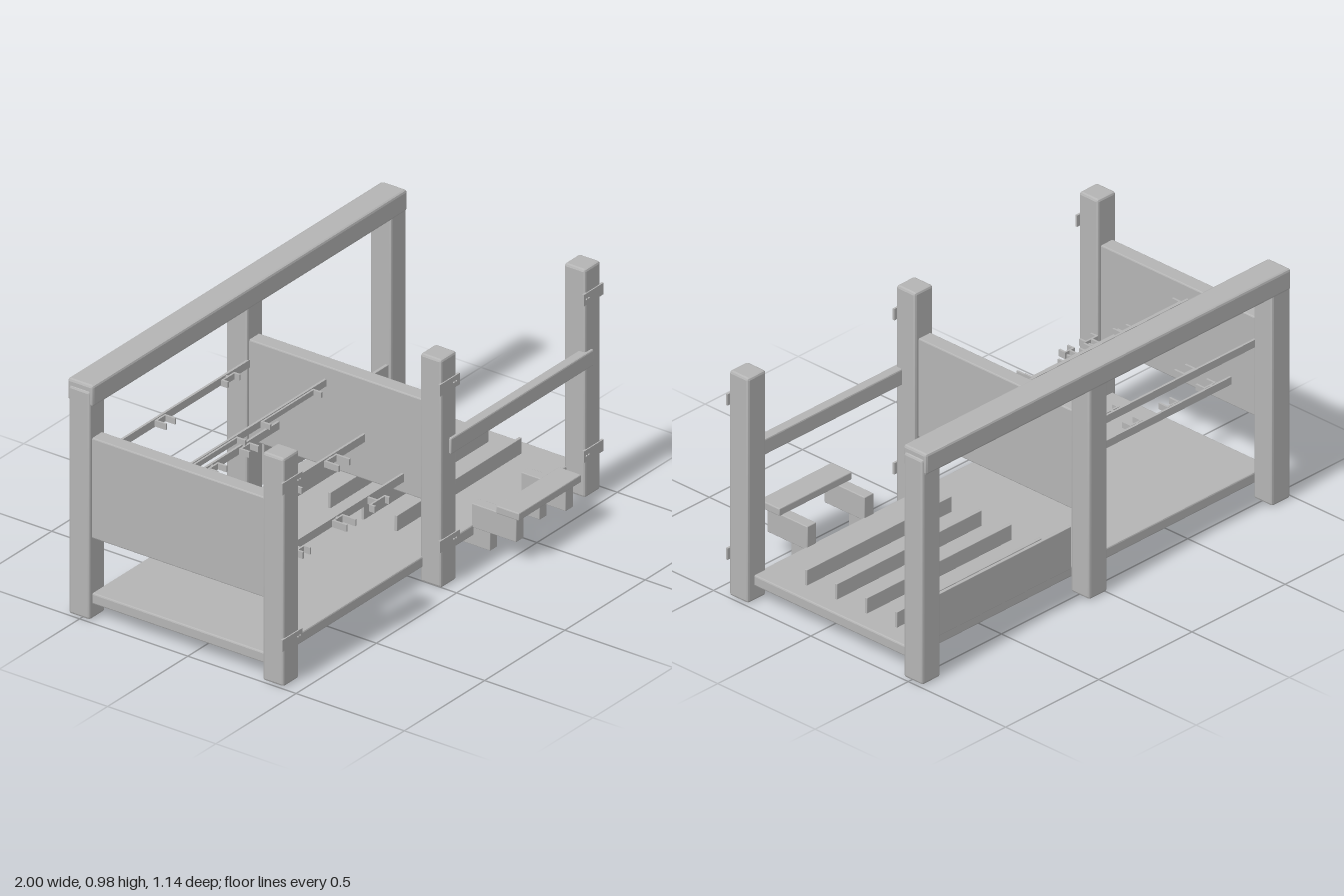
import * as THREE from 'three';
import { RoundedBoxGeometry } from 'three/addons/geometries/RoundedBoxGeometry.js';
import { toCreasedNormals } from 'three/addons/utils/BufferGeometryUtils.js';

export function createModel() {
  const model = new THREE.Group();
  model.name = 'storageRack';
  const grey = new THREE.MeshStandardMaterial({ color: 0xb4b4b4 });
  grey.name = 'grey';

  // Box given by its extents, with optional chamfered edges
  function box(name, [x0, x1], [y0, y1], [z0, z1], bevel = 0, parent = model) {
    const size = [x1 - x0, y1 - y0, z1 - z0];
    const geometry = bevel
      ? toCreasedNormals(new RoundedBoxGeometry(...size, 1, bevel), 0.3)
      : new THREE.BoxGeometry(...size);
    const mesh = new THREE.Mesh(geometry, grey);
    mesh.name = name;
    mesh.position.set((x0 + x1) / 2, (y0 + y1) / 2, (z0 + z1) / 2);
    parent.add(mesh);
    return mesh;
  }

  // Posts, with clamp plates and bolts on the front row
  const posts = [[-0.94, 0.04], [0.041, 0.03], [0.937, -0.04]];
  for (const [x, boltX] of posts) {
    box('frontPost', [x - 0.049, x + 0.049], [0.004, 0.96], [0.336, 0.434], 0.01);
    box('backPost', [x - 0.049, x + 0.049], [0.004, 0.96], [-0.56, -0.462], 0.01);
    for (const y of [0.184, 0.84]) {
      box('clampPlate', [x - 0.061, x + 0.061], [y - 0.024, y + 0.024], [0.43, 0.439]);
      for (const dx of [-0.007, 0.007]) {
        const bolt = new THREE.Mesh(new THREE.CylinderGeometry(0.004, 0.004, 0.008, 8), grey);
        bolt.name = 'bolt';
        bolt.rotation.x = Math.PI / 2;
        bolt.position.set(x + boltX + dx, y, 0.44);
        model.add(bolt);
      }
    }
  }

  // Main frame
  box('topBeam', [-0.983, 0.978], [0.896, 0.985], [-0.57, -0.452], 0.01);
  box('floor', [-0.973, 0.952], [0.067, 0.112], [-0.465, 0.348], 0.006);
  box('leftPanel', [-0.973, -0.909], [0.342, 0.762], [-0.5, 0.38], 0.005);
  box('middlePanel', [0.005, 0.07], [0.342, 0.762], [-0.5, 0.38], 0.005);
  box('frontRail', [0.042, 0.932], [0.547, 0.615], [0.402, 0.444], 0.006);

  // Upright dividers and the taller back board
  for (const z of [0.147, -0.007, -0.161, -0.315]) {
    box('divider', [0.097, 0.873], [0.112, 0.178], [z - 0.0065, z + 0.0065], 0.002);
  }
  box('backBoard', [0.1, 0.874], [0.112, 0.29], [-0.477, -0.463], 0.002);

  // Step seat on two stepped brackets
  for (const x of [0.332, 0.64]) {
    box('seatBracketLower', [x - 0.022, x + 0.022], [0.025, 0.105], [0.148, 0.425], 0.003);
    box('seatBracketUpper', [x - 0.024, x + 0.024], [0.1, 0.2], [0.34, 0.547], 0.003);
  }
  box('seatBoard', [0.292, 0.682], [0.203, 0.235], [0.466, 0.571], 0.004);

  // Hanging rails: z, y range, hooks as [x0, x1, bar offset, prong end offset]
  const rails = [
    { z: -0.464, y: [0.647, 0.679], hooks: [[-0.59, -0.525, 0.01, 0.058], [-0.185, -0.102, 0.016, 0.042]] },
    { z: -0.328, y: [0.43, 0.462], hooks: [[-0.845, -0.78, 0.014, 0.056], [-0.647, -0.582, 0.014, 0.056],
      [-0.45, -0.385, 0.014, 0.056], [-0.252, -0.187, 0.014, 0.056]] },
    { z: -0.11, y: [0.679, 0.708], hooks: [[-0.883, -0.555, 0.01, 0.05], [-0.408, -0.08, 0.01, 0.05]] },
    { z: 0.069, y: [0.502, 0.535], hooks: [[-0.842, -0.785, 0.043, 0.07], [-0.642, -0.583, 0.043, 0.07],
      [-0.525, -0.47, 0.043, 0.07], [-0.256, -0.18, 0.012, 0.075]] },
    { z: 0.248, y: [0.39, 0.425], hooks: [[-0.845, -0.777, 0.045, 0.075], [-0.72, -0.667, 0.045, 0.075],
      [-0.45, -0.385, 0.014, 0.076], [-0.268, -0.17, 0.049, 0.072]] },
  ];
  for (const { z, y, hooks } of rails) {
    box('hangingRail', [-0.915, 0.01], y, [z - 0.005, z + 0.005]);
    for (const [x0, x1, bar, end] of hooks) {
      const hook = new THREE.Group();
      hook.name = 'hook';
      model.add(hook);
      const mid = (x0 + x1) / 2;
      const h = [y[0] + 0.004, y[1] - 0.003];
      const t = 0.009;
      box('hookStem', [mid - t / 2, mid + t / 2], h, [z, z + bar], 0, hook);
      box('hookBar', [x0, x1], h, [z + bar - 0.004, z + bar + 0.004], 0, hook);
      box('hookProng', [x0, x0 + t], h, [z + bar, z + end], 0, hook);
      box('hookProng', [x1 - t, x1], h, [z + bar, z + end], 0, hook);
    }
  }

  return model;
}
